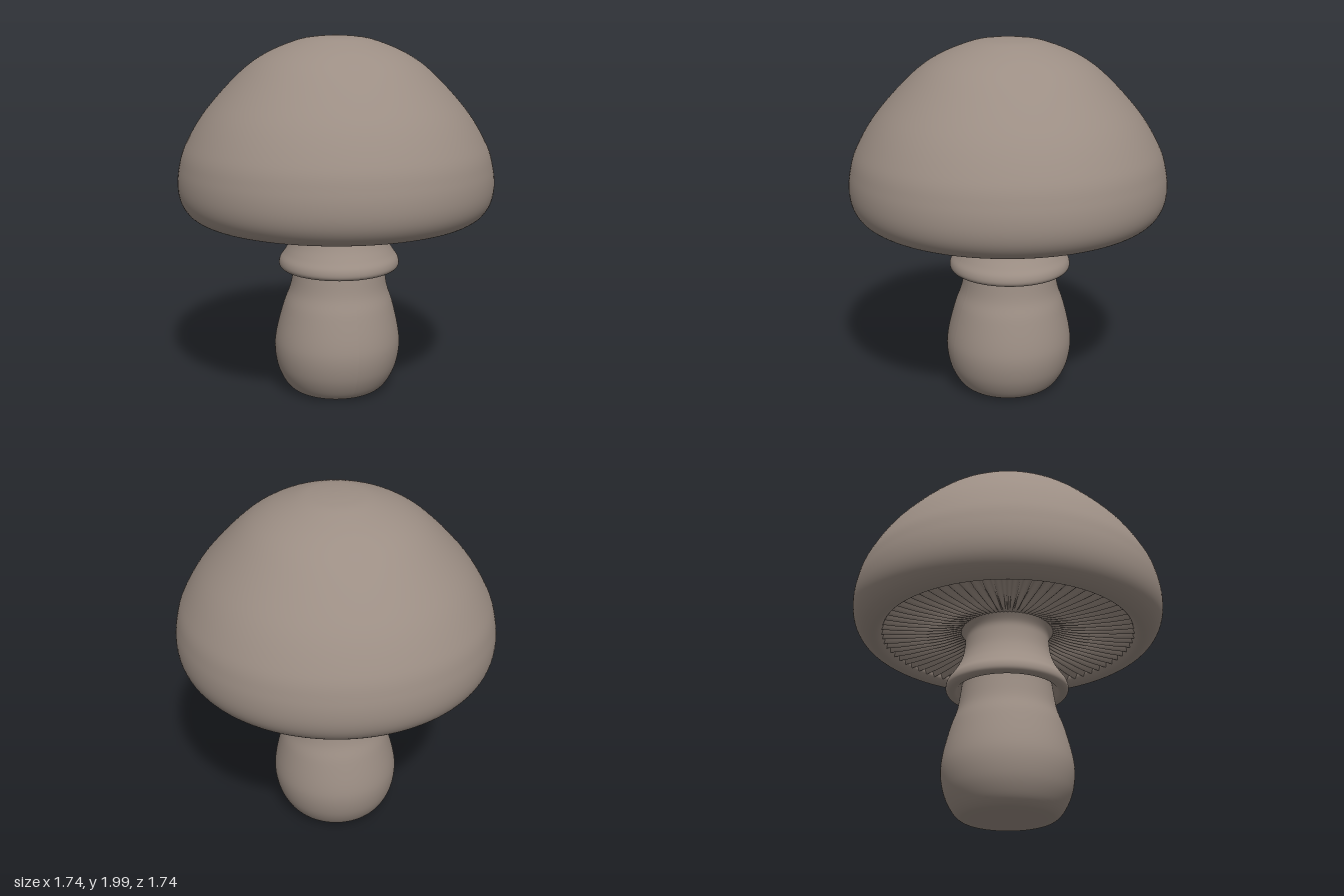
import * as THREE from 'three';

// Smooth surface of revolution; profile runs from the bottom outward and up
function turned(name, profile, material, segments = 96, steps = 60) {
  const curve = new THREE.SplineCurve(profile.map(([r, y]) => new THREE.Vector2(r, y)));
  const points = curve.getPoints(steps);
  points.forEach((p) => { p.x = Math.max(p.x, 0); });
  const mesh = new THREE.Mesh(new THREE.LatheGeometry(points, segments), material);
  mesh.name = name;
  return mesh;
}

// Moves every vertex by a rule and refreshes the normals
function reshape(mesh, rule) {
  const pos = mesh.geometry.attributes.position;
  const v = new THREE.Vector3();
  for (let i = 0; i < pos.count; i++) {
    rule(v.fromBufferAttribute(pos, i));
    pos.setXYZ(i, v.x, v.y, v.z);
  }
  mesh.geometry.computeVertexNormals();
}

export function createModel() {
  const group = new THREE.Group();
  group.name = 'mushroom';
  const clay = new THREE.MeshStandardMaterial({ color: 0x9c8e84 });
  clay.name = 'warm grey clay';

  // Domed cap with a rolled lip
  const cap = turned('cap', [
    [0.69, 1.09], [0.7, 1.05], [0.73, 1.024], [0.77, 1.025], [0.82, 1.06], [0.855, 1.12],
    [0.868, 1.2], [0.858, 1.3], [0.82, 1.42], [0.71, 1.6], [0.525, 1.8], [0.38, 1.905],
    [0.21, 1.975], [0.1, 1.995], [0, 2],
  ], clay, 128, 90);
  cap.scale.z = 1.005;

  // Radial gills: a shallow underside rippled around the axis
  const gillCount = 72;
  const gills = turned('gills', [
    [0.18, 1.1], [0.3, 1.085], [0.45, 1.07], [0.6, 1.06], [0.71, 1.06],
  ], clay, gillCount * 8, 16);
  reshape(gills, (v) => {
    const r = Math.hypot(v.x, v.z);
    const fade = THREE.MathUtils.smoothstep(r, 0.2, 0.4);
    const wave = Math.cos(Math.atan2(v.z, v.x) * gillCount);
    v.y += 0.015 * fade * wave;
  });

  // Bulbous stem with a flat foot
  const stem = turned('stem', [
    [0, 0.006], [0.12, 0.006], [0.22, 0.008], [0.265, 0.022], [0.305, 0.07], [0.34, 0.15],
    [0.356, 0.25], [0.347, 0.35], [0.31, 0.5], [0.275, 0.6], [0.257, 0.7], [0.24, 0.82],
  ], clay);

  // Neck flaring down into the skirt ring, with a hollow underside
  const skirt = turned('skirt', [
    [0.235, 0.77], [0.265, 0.74], [0.29, 0.716], [0.32, 0.715], [0.337, 0.735], [0.332, 0.77],
    [0.305, 0.81], [0.272, 0.865], [0.247, 0.93], [0.236, 1.0], [0.238, 1.05], [0.265, 1.1],
  ], clay);

  // Slight lean of the stem towards +x
  for (const part of [stem, skirt]) {
    reshape(part, (v) => { v.x += 0.018 * Math.min(v.y / 0.7, 1); });
  }

  group.add(cap, gills, stem, skirt);
  return group;
}
